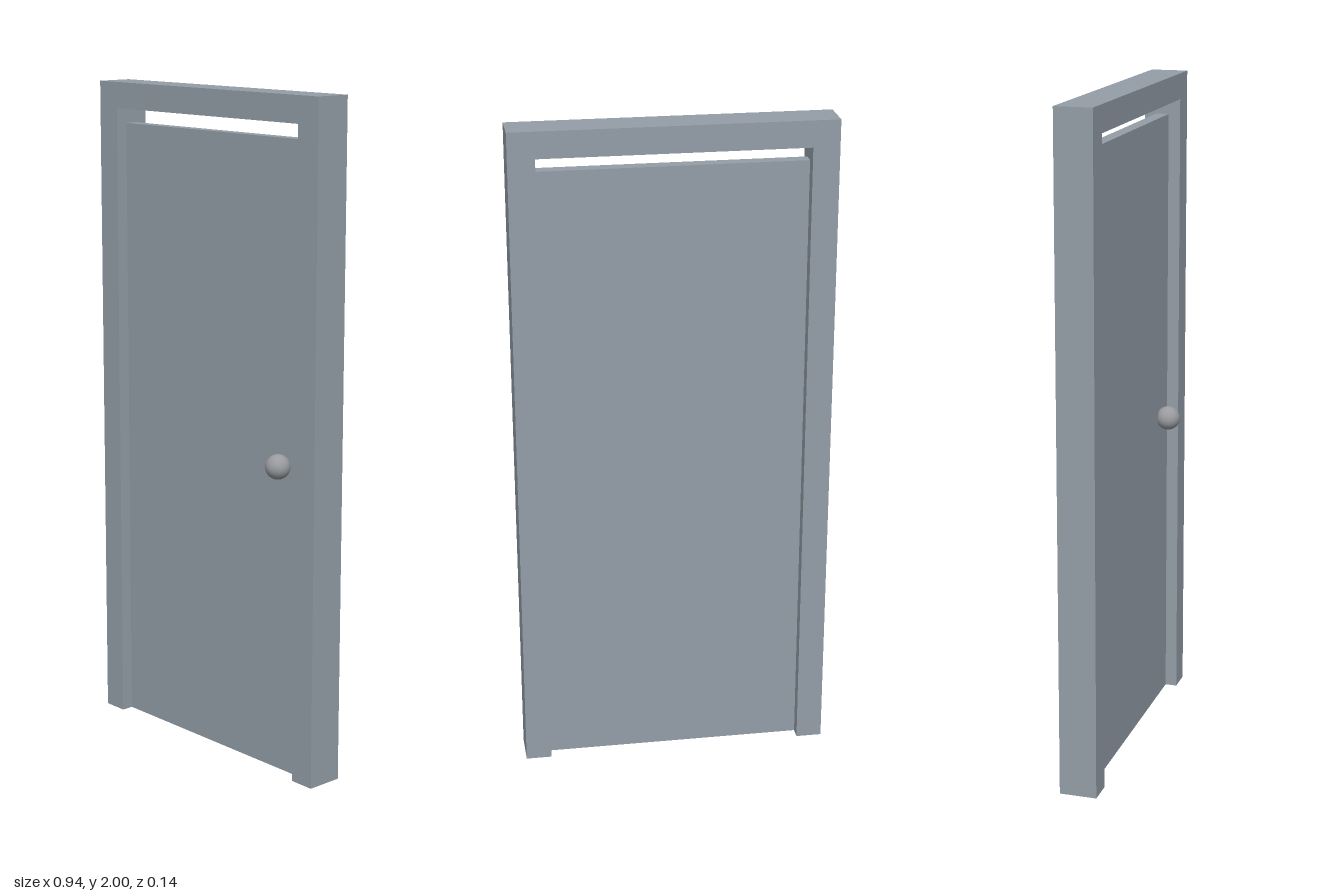
import * as THREE from 'three';

export function createModel() {
  const model = new THREE.Group();
  const paint = new THREE.MeshStandardMaterial({ color: 0x949ea8 });
  const metal = new THREE.MeshStandardMaterial({ color: 0x999b9f });
  const add = (name, geometry, material, x, y, z) => {
    const mesh = new THREE.Mesh(geometry, material);
    mesh.name = name;
    mesh.position.set(x, y, z);
    model.add(mesh);
  };

  const halfWidth = 0.469, halfOpening = 0.391;
  const height = 2, openingHeight = 1.922;
  const depth = 0.112, centreZ = -0.014;

  // Door frame: one arch outline, open at the floor
  const outline = [
    [-halfWidth, 0], [-halfOpening, 0], [-halfOpening, openingHeight], [halfOpening, openingHeight],
    [halfOpening, 0], [halfWidth, 0], [halfWidth, height], [-halfWidth, height],
  ];
  const frame = new THREE.Shape(outline.map(([x, y]) => new THREE.Vector2(x, y)));
  add('doorFrame', new THREE.ExtrudeGeometry(frame, { depth, bevelEnabled: false }), paint, 0, 0, centreZ - depth / 2);

  // Door leaf, set in the middle of the frame with a gap above it
  const leafHeight = 1.876;
  add('doorLeaf', new THREE.BoxGeometry(halfOpening * 2, leafHeight, 0.039), paint, 0, leafHeight / 2, centreZ);

  // Round knob on the front face only
  add('doorKnob', new THREE.SphereGeometry(0.037, 32, 20), metal, 0.31, 0.938, 0.032);

  return model;
}
